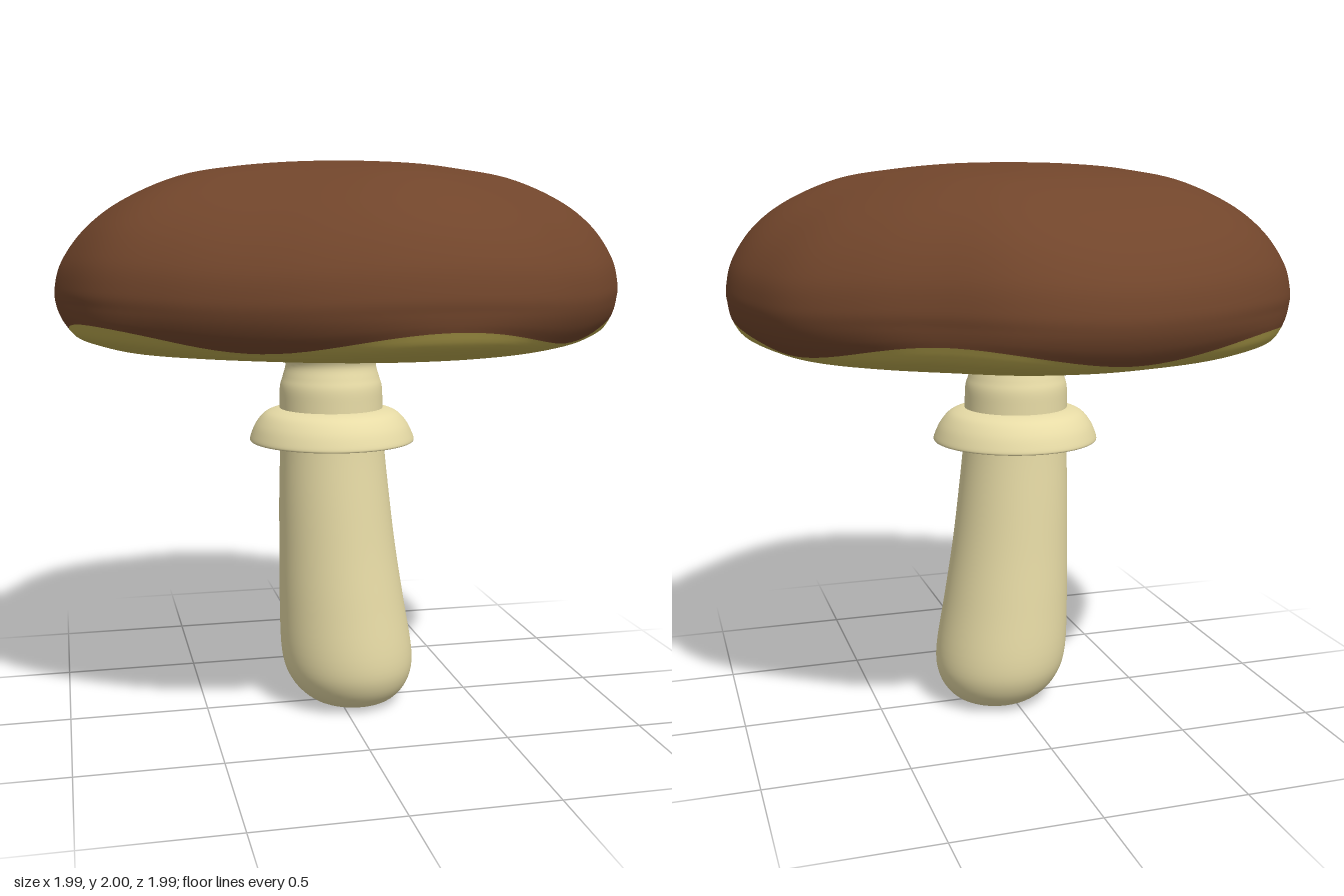
import * as THREE from 'three';

const SEGMENTS = 120;
const V = (r, y) => new THREE.Vector2(r, y);

// Cap outline radius every 15 degrees, from +x towards +z
const OUTLINE = [
  0.988, 0.995, 0.968, 0.958, 0.978, 0.992, 0.992, 0.98, 0.968, 0.986, 1.022, 1.012,
  1.0, 0.995, 0.988, 1.003, 0.993, 0.982, 1.0, 0.995, 0.955, 0.965, 0.986, 0.977,
];

function outline(angle) {
  const n = OUTLINE.length;
  const u = (angle / (2 * Math.PI)) * n;
  const i = Math.floor(u), f = u - i;
  const at = k => OUTLINE[(k + n) % n];
  const [a, b, c, d] = [at(i - 1), at(i), at(i + 1), at(i + 2)];
  return b + 0.5 * f * (c - a + f * (2 * a - 5 * b + 4 * c - d + f * (3 * (b - c) + d - a)));
}

// Five soft waves around the rim
const wave = angle => Math.cos(5 * (angle - Math.PI / 18));

// Closed ring of cross-sections: profile(angle) gives points, place() bends them
function sweep(profile, rows, place) {
  const positions = [], index = [];
  for (let j = 0; j < SEGMENTS; j++) {
    const angle = (j / SEGMENTS) * 2 * Math.PI;
    const curve = new THREE.SplineCurve(profile(angle));
    for (let i = 0; i <= rows; i++) {
      const p = curve.getPoint(i / rows);
      positions.push(...place(p.x, p.y, angle));
    }
  }
  for (let j = 0; j < SEGMENTS; j++) {
    const a = j * (rows + 1), b = ((j + 1) % SEGMENTS) * (rows + 1);
    for (let i = 0; i < rows; i++) {
      index.push(a + i, b + i, a + i + 1, b + i, b + i + 1, a + i + 1);
    }
  }
  const geometry = new THREE.BufferGeometry();
  geometry.setAttribute('position', new THREE.Float32BufferAttribute(positions, 3));
  geometry.setIndex(index);
  geometry.computeVertexNormals();
  return geometry;
}

// The cap swells with its outline towards the rim
function placeCap(r, y, angle) {
  const s = r * (1 + (outline(angle) - 1) * Math.min(1, r * 1.1));
  return [s * Math.cos(angle), y, s * Math.sin(angle)];
}

// The stem leans gently towards -x as it rises
const lean = y => -0.03 + 0.085 * (1 - y / 1.3) ** 2;
const placeStem = (r, y, angle) =>
  [lean(y) + r * Math.cos(angle), y, 0.006 + r * Math.sin(angle)];

// Where the cap skin meets the underside
const rim = w => V(0.962 + 0.024 * w, 1.435 + 0.033 * w);

function capProfile(angle) {
  const w = wave(angle);
  return [
    V(0.001, 2), V(0.2, 1.995), V(0.4, 1.977), V(0.6, 1.936 + 0.008 * w),
    V(0.78, 1.857 + 0.012 * w), V(0.9, 1.765 + 0.014 * w), V(0.975, 1.66 + 0.01 * w),
    V(1, 1.57 + 0.005 * w), V(0.997, 1.515 + 0.008 * w),
    V(0.983 + 0.009 * w, 1.47 + 0.02 * w), rim(w),
  ];
}

function undersideProfile(angle) {
  const w = wave(angle);
  return [
    rim(w), V(0.937 + 0.018 * w, 1.407 + 0.012 * w), V(0.89, 1.385 + 0.003 * w),
    V(0.8, 1.366), V(0.6, 1.35), V(0.4, 1.34), V(0.2, 1.335), V(0.001, 1.335),
  ];
}

export function createModel() {
  const group = new THREE.Group();
  const material = (name, color) => {
    const m = new THREE.MeshStandardMaterial({ color });
    m.name = name;
    return m;
  };
  const brown = material('cap brown', 0x71452b);
  const olive = material('underside olive', 0xbba94f);
  const cream = material('stem cream', 0xeadea8);

  const add = (name, geometry, mat) => {
    const mesh = new THREE.Mesh(geometry, mat);
    mesh.name = name;
    group.add(mesh);
    return mesh;
  };

  add('cap', sweep(capProfile, 60, placeCap), brown);
  add('capUnderside', sweep(undersideProfile, 35, placeCap), olive);

  // Stem with a flared neck, a slim shaft and a rounded foot
  const stem = [
    V(0.23, 1.34), V(0.185, 1.322), V(0.165, 1.285), V(0.175, 1.24), V(0.186, 1.2),
    V(0.188, 1.13), V(0.19, 1), V(0.203, 0.8), V(0.216, 0.6), V(0.232, 0.4),
    V(0.245, 0.2), V(0.225, 0.1), V(0.17, 0.03), V(0.1, 0.002), V(0.001, 0.002),
  ];
  add('stem', sweep(() => stem, 70, placeStem), cream);

  // Hollow skirt around the upper stem
  const skirt = [
    V(0.17, 1.125), V(0.205, 1.12), V(0.245, 1.103), V(0.277, 1.066), V(0.296, 1.025),
    V(0.3, 1.005), V(0.286, 1.007), V(0.266, 1.05), V(0.235, 1.085), V(0.17, 1.1),
  ];
  add('skirt', sweep(() => skirt, 40, placeStem), cream);

  // Small dark oval under the foot
  const spot = add('footSpot', new THREE.CircleGeometry(0.028, 16), brown);
  spot.scale.x = 2.5;
  spot.rotation.set(Math.PI / 2, 0, Math.PI / 4);
  spot.position.set(lean(0), 0, 0.006);

  return group;
}
